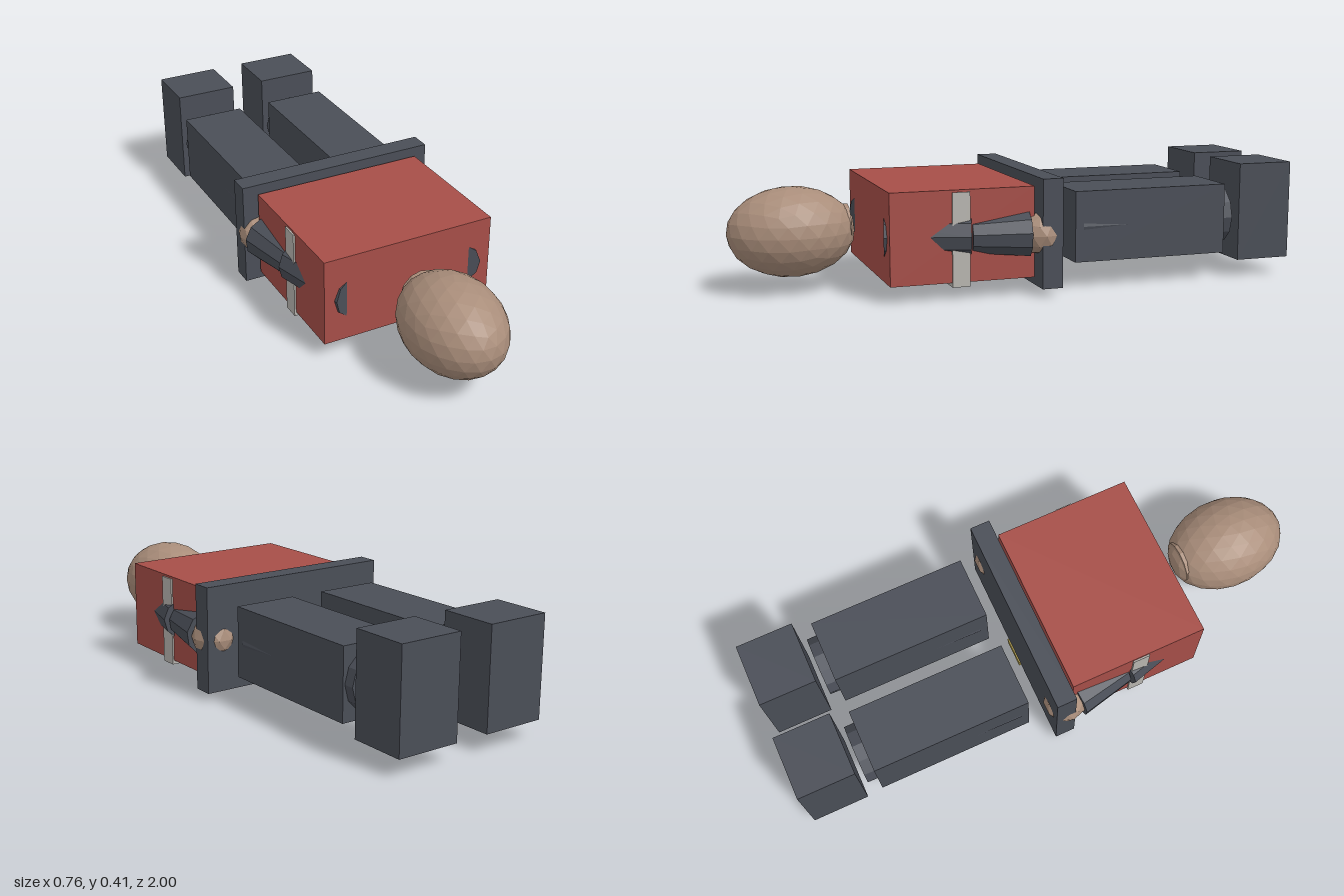
import * as THREE from 'three';

const paint = (name, color) => {
  const m = new THREE.MeshStandardMaterial({ color });
  m.name = name;
  m.flatShading = true;
  return m;
};

export function createModel() {
  const root = new THREE.Group();
  root.name = 'lyingFigure';
  const skin = paint('skin', 0xa98d7a);
  const red = paint('red shirt', 0xa64e48);
  const dark = paint('dark slate', 0x4a4e57);
  const grey = paint('light grey', 0xb8b5b0);
  const gold = paint('gold', 0xbfaa55);

  const add = (name, geo, mat) => {
    const m = new THREE.Mesh(geo, mat);
    m.name = name;
    root.add(m);
    return m;
  };
  // Box given by its lowest and highest corners
  const box = (name, mat, a, b) => {
    const m = add(name, new THREE.BoxGeometry(b[0] - a[0], b[1] - a[1], b[2] - a[2]), mat);
    m.position.set((a[0] + b[0]) / 2, (a[1] + b[1]) / 2, (a[2] + b[2]) / 2);
  };
  // Tapered cylinder from point a (radius ra) to point b (radius rb)
  const limb = (name, mat, a, b, ra, rb, sides = 10) => {
    const p = new THREE.Vector3(...a), q = new THREE.Vector3(...b);
    const d = q.clone().sub(p);
    const m = add(name, new THREE.CylinderGeometry(rb, ra, d.length(), sides), mat);
    m.position.copy(p).add(q).multiplyScalar(0.5);
    m.quaternion.setFromUnitVectors(new THREE.Vector3(0, 1, 0), d.normalize());
  };
  // Faceted ellipsoid with its pole along z
  const ball = (name, mat, c, r, detail) => {
    const g = new THREE.IcosahedronGeometry(1, detail);
    g.rotateX(Math.atan(0.618034)).rotateX(Math.PI / 2).scale(...r);
    add(name, g, mat).position.set(...c);
  };

  // Head and neck
  ball('head', skin, [0, 0.21, 0.777], [0.165, 0.157, 0.221], 3);
  limb('neck', skin, [0, 0.222, 0.58], [0, 0.222, 0.64], 0.076, 0.076, 12);

  // Torso, chest band, belt and buckle
  box('torso', red, [-0.315, 0.06, 0], [0.315, 0.375, 0.505]);
  box('chestBand', grey, [-0.321, 0.045, 0.23], [0.321, 0.367, 0.292]);
  box('belt', dark, [-0.367, 0.027, -0.085], [0.367, 0.405, -0.012]);
  box('buckle', gold, [-0.052, 0, -0.09], [0.052, 0.032, -0.008]);

  for (const s of [1, -1]) {
    const side = s > 0 ? 'left' : 'right';
    const legBox = (name, y0, y1, z0, z1) =>
      box(side + name, dark, [s * 0.178 - 0.115, y0, z0], [s * 0.178 + 0.115, y1, z1]);

    // Arm and hand
    limb(side + 'UpperArm', dark, [s * 0.203, 0.215, 0.497], [s * 0.278, 0.215, 0.215], 0.075, 0.075);
    limb(side + 'Forearm', dark, [s * 0.275, 0.21, 0.215], [s * 0.302, 0.21, 0.017], 0.062, 0.08);
    ball(side + 'Hand', skin, [s * 0.302, 0.21, -0.022], [0.078, 0.072, 0.078], 1);

    // Leg, trouser block and boot
    limb(side + 'Leg', dark, [s * 0.178, 0.22, -0.19], [s * 0.178, 0.22, -0.772], 0.118, 0.108, 12);
    legBox('Trouser', 0.095, 0.345, -0.735, -0.16);
    legBox('Boot', 0.063, 0.415, -1, -0.795);
  }
  return root;
}
